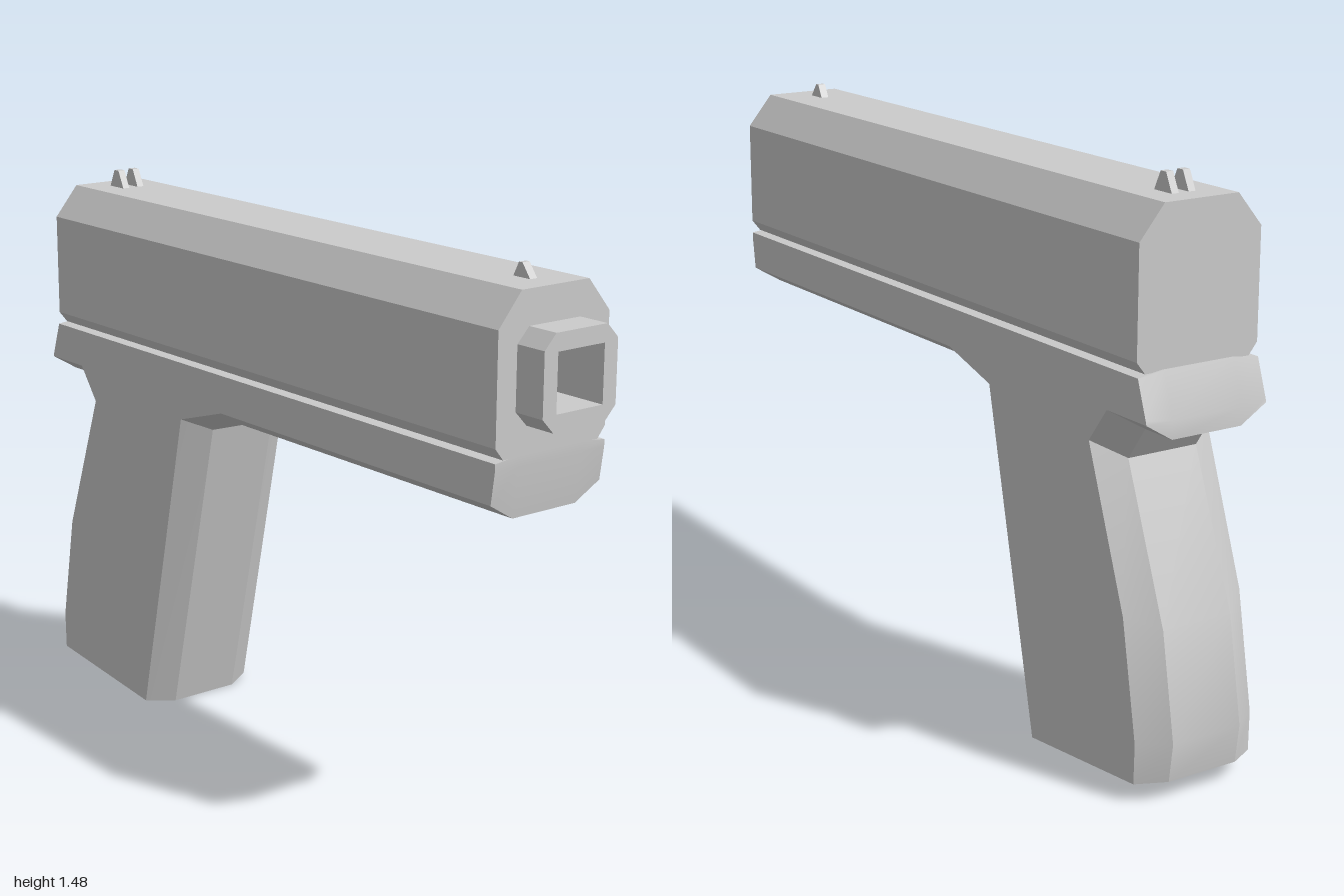
import * as THREE from 'three';
import { toCreasedNormals } from 'three/addons/utils/BufferGeometryUtils.js';

const material = new THREE.MeshStandardMaterial({ color: 0xcccccc });

function addMesh(group, name, geometry) {
  const mesh = new THREE.Mesh(geometry, material);
  mesh.name = name;
  group.add(mesh);
}

const toVectors = (points) => points.map(([a, b]) => new THREE.Vector2(a, b));

// Extrudes an (x, y) outline between two z positions, with an optional hole
function extrudeAlongZ(points, zBack, zFront, hole) {
  const shape = new THREE.Shape(toVectors(points));
  if (hole) shape.holes.push(new THREE.Path(toVectors(hole)));
  const geometry = new THREE.ExtrudeGeometry(shape, { depth: zFront - zBack, bevelEnabled: false });
  return geometry.translate(0, 0, zBack);
}

// Small wedge of the given width from a (z, y) outline, centred on x
function wedge(points, width, x) {
  const shape = new THREE.Shape(toVectors(points.map(([z, y]) => [-z, y])));
  const geometry = new THREE.ExtrudeGeometry(shape, { depth: width, bevelEnabled: false });
  return geometry.translate(0, 0, -width / 2).rotateY(Math.PI / 2).translate(x, 0, 0);
}

// Joins matching (z, y) outlines placed at successive x positions and caps both ends
function loftAcrossX(sections) {
  const positions = [];
  const index = [];
  const n = sections[0].outline.length;
  for (const { x, outline } of sections) {
    for (const [z, y] of outline) positions.push(x, y, z);
  }
  for (let s = 0; s < sections.length - 1; s++) {
    for (let i = 0; i < n; i++) {
      const a = s * n + i, b = s * n + ((i + 1) % n), c = a + n, d = b + n;
      index.push(a, b, c, b, d, c);
    }
  }
  // End caps, each triangle wound to face outward
  const last = (sections.length - 1) * n;
  const contour = toVectors(sections[0].outline);
  for (const [a, b, c] of THREE.ShapeUtils.triangulateShape(contour, [])) {
    const turn = THREE.ShapeUtils.area([contour[a], contour[b], contour[c]]);
    const [u, v, w] = turn > 0 ? [a, b, c] : [a, c, b];
    index.push(u, v, w, last + u, last + w, last + v);
  }
  const geometry = new THREE.BufferGeometry();
  geometry.setAttribute('position', new THREE.Float32BufferAttribute(positions, 3));
  geometry.setIndex(index);
  return toCreasedNormals(geometry, 0.4);
}

export function createModel() {
  const group = new THREE.Group();

  // Slide: chamfered bar, bored at the front
  const slide = [
    [-0.15, 1.042], [0.15, 1.042], [0.174, 1.072], [0.174, 1.347],
    [0.105, 1.43], [-0.105, 1.43], [-0.174, 1.347], [-0.174, 1.072],
  ];
  const bore = [[-0.073, 1.155], [-0.073, 1.3], [0.073, 1.3], [0.073, 1.155]];
  addMesh(group, 'slideFront', extrudeAlongZ(slide, 0.4, 0.912, bore));
  addMesh(group, 'slideRear', extrudeAlongZ(slide, -0.925, 0.4));

  // Muzzle: short chamfered square tube
  const muzzle = [
    [-0.08, 1.112], [0.08, 1.112], [0.115, 1.149], [0.115, 1.307],
    [0.08, 1.344], [-0.08, 1.344], [-0.115, 1.307], [-0.115, 1.149],
  ];
  addMesh(group, 'muzzle', extrudeAlongZ(muzzle, 0.9, 1, bore));

  // Frame and grip: middle outline and the inset outline of the flat sides
  const middle = [
    [0.912, 1.046], [0.912, 1.02], [0.895, 0.89], [-0.15, 0.89], [-0.283, 0.848],
    [-0.483, 0], [-0.985, 0.05], [-0.998, 0.15], [-0.95, 0.42], [-0.803, 0.803],
    [-0.865, 0.89], [-0.965, 0.89], [-0.965, 0.935], [-0.93, 1.046],
  ];
  const side = [
    [0.912, 1.037], [0.912, 1.02], [0.9, 0.935], [-0.143, 0.935], [-0.327, 0.88],
    [-0.525, 0.005], [-0.945, 0.047], [-0.947, 0.15], [-0.892, 0.45], [-0.747, 0.845],
    [-0.815, 0.935], [-0.965, 0.935], [-0.962, 0.945], [-0.93, 1.037],
  ];
  addMesh(group, 'frameAndGrip', loftAcrossX([
    { x: -0.174, outline: side },
    { x: -0.1, outline: middle },
    { x: 0.1, outline: middle },
    { x: 0.174, outline: side },
  ]));

  // Sights
  const frontSight = [[0.842, 1.425], [0.812, 1.465], [0.8, 1.465], [0.78, 1.425]];
  addMesh(group, 'frontSight', wedge(frontSight, 0.022, 0));
  const rearSight = [[-0.79, 1.425], [-0.815, 1.477], [-0.835, 1.477], [-0.86, 1.425]];
  for (const sign of [-1, 1]) {
    addMesh(group, sign > 0 ? 'rearSightLeft' : 'rearSightRight', wedge(rearSight, 0.02, sign * 0.024));
  }

  return group;
}
